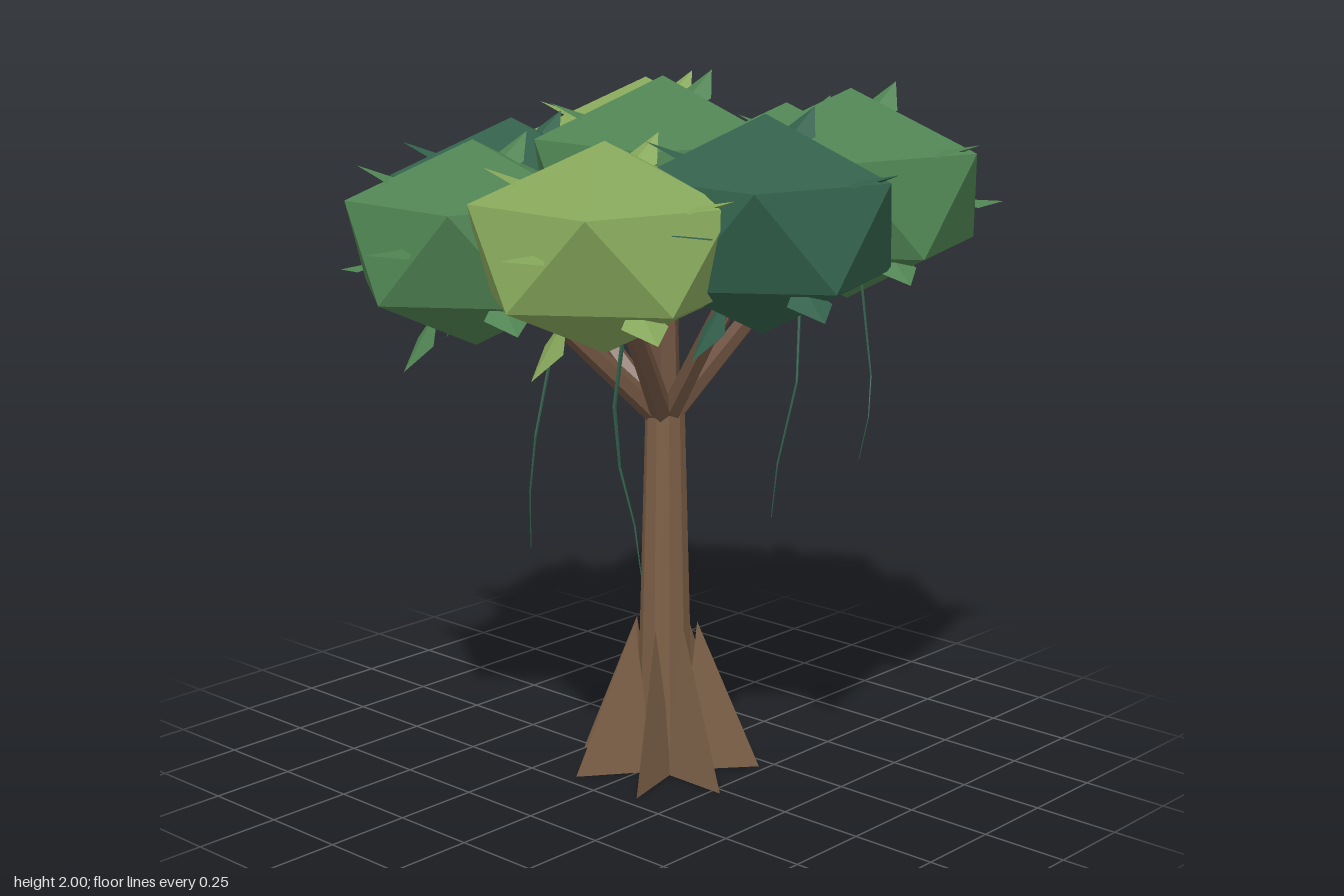
import * as THREE from 'three';

const mat = (name, color, extra = {}) => {
  const m = new THREE.MeshStandardMaterial({ color, flatShading: true, ...extra });
  m.name = name;
  return m;
};

// flat geometry from a list of triangle corners
const facets = (corners) => {
  const geo = new THREE.BufferGeometry();
  geo.setAttribute('position', new THREE.Float32BufferAttribute(corners.flat(), 3));
  geo.computeVertexNormals();
  return geo;
};

export function createModel() {
  const tree = new THREE.Group();
  tree.name = 'tree';
  const both = { side: THREE.DoubleSide };
  const bark = mat('bark', 0x7b5f46);
  const branchBark = mat('branchBark', 0x6f5340);
  const greens = {
    mid: mat('midGreen', 0x4f8352, both),
    light: mat('lightGreen', 0x86a65a, both),
    dark: mat('darkGreen', 0x32604b, both),
  };
  const add = (parent, name, geo, material) => {
    const mesh = new THREE.Mesh(geo, material);
    mesh.name = name;
    parent.add(mesh);
    return mesh;
  };
  // tapered rod from p to q
  const rod = (parent, name, p, q, r0, r1, sides, material) => {
    const d = q.clone().sub(p);
    const m = add(parent, name, new THREE.CylinderGeometry(r1, r0, d.length(), sides), material);
    m.position.copy(p).addScaledVector(d, 0.5);
    m.quaternion.setFromUnitVectors(new THREE.Vector3(0, 1, 0), d.normalize());
  };
  const TX = 0.037, TZ = 0.012;

  // trunk
  const trunk = new THREE.CylinderGeometry(0.056, 0.084, 1.06, 10);
  add(tree, 'trunk', trunk.translate(TX, 0.53, TZ), bark);

  // buttress roots: leaning three-sided fins
  const tip = [0.275, 0, 0], a = [0.05, 0, 0.045], b = [0.05, 0, -0.045], top = [0.093, 0.44, 0];
  const finGeo = facets([a, tip, top, tip, b, top, b, a, top, tip, a, b]);
  for (let i = 0; i < 7; i++) {
    const fin = add(tree, 'buttressRoot', finGeo, bark);
    fin.position.set(TX, 0, TZ);
    fin.rotation.y = -i * Math.PI * 2 / 7;
  }

  // foliage clump: icosahedron with a corner pointing straight up
  const clumpGeo = new THREE.IcosahedronGeometry(1, 0);
  clumpGeo.rotateZ(-Math.atan2(1, (1 + Math.sqrt(5)) / 2));

  // leaf: folded diamond along z, centred
  const back = [0, 0, -0.1], front = [0, 0, 0.1], left = [0.062, -0.015, 0], right = [-0.062, -0.015, 0];
  const leafGeo = facets([back, front, left, back, right, front]);

  // clumps: centre, radius, half height, colour
  const clumps = [
    [[0.04, 1.70, 0.0], 0.40, 0.30, 'mid'],
    [[0.57, 1.61, 0.0], 0.388, 0.275, 'mid'],
    [[0.36, 1.68, 0.40], 0.405, 0.29, 'mid'],
    [[-0.07, 1.65, 0.46], 0.388, 0.29, 'dark'],
    [[-0.44, 1.61, 0.24], 0.395, 0.275, 'light'],
    [[-0.45, 1.57, -0.24], 0.385, 0.28, 'mid'],
    [[-0.085, 1.58, -0.47], 0.388, 0.28, 'dark'],
    [[0.325, 1.67, -0.33], 0.40, 0.285, 'light'],
  ];
  const crotch = new THREE.Vector3(TX, 1.03, TZ);
  const LEAVES = 10;
  clumps.forEach(([c, r, h, col], n) => {
    const centre = new THREE.Vector3(...c);
    const clump = add(tree, 'foliageClump', clumpGeo, greens[col]);
    clump.position.copy(centre);
    clump.scale.set(r, h, r);

    rod(tree, 'branch', crotch, centre, n ? 0.034 : 0.046, n ? 0.022 : 0.036, 6, branchBark);

    // leaves spiralling from the top of the clump to its underside, the lower ones drooping
    for (let i = 0; i < LEAVES; i++) {
      const y = 1 - (2 * i + 1) / LEAVES, flat = Math.sqrt(1 - y * y);
      const az = THREE.MathUtils.degToRad(222.5 * i);
      const x = Math.cos(az) * flat, z = Math.sin(az) * flat;
      const leaf = add(tree, 'leaf', leafGeo, greens[col]);
      leaf.position.set(x * 0.36, y * h, z * 0.36).add(centre);
      leaf.lookAt(leaf.position.clone().add(new THREE.Vector3(x, y * (y < 0 ? 0.8 : 0.35), z)));
      // upper leaves sit deeper in the clump
      if (i < 2) leaf.translateZ(-0.045);
    }
  });

  // hanging vines, tapering to the tip
  const vines = [
    [[-0.45, 1.5, 0.33], [-0.45, 1.2, 0.28], [-0.42, 1.03, 0.27], [-0.39, 0.87, 0.295], [-0.39, 0.73, 0.32]],
    [[-0.09, 1.5, -0.28], [-0.10, 1.25, -0.29], [-0.16, 0.97, -0.31], [-0.16, 0.8, -0.335], [-0.13, 0.62, -0.365]],
    [[0.30, 1.5, 0.49], [0.30, 1.3, 0.52], [0.295, 1.2, 0.54], [0.275, 1.09, 0.55], [0.255, 0.97, 0.535]],
    [[0.62, 1.5, 0.0], [0.63, 1.25, 0.01], [0.61, 1.05, 0.02], [0.56, 0.8, -0.01], [0.565, 0.63, -0.035]],
  ];
  vines.forEach((points, n) => {
    const vine = new THREE.Group();
    vine.name = 'hangingVine';
    tree.add(vine);
    const full = n === 2 ? 0.004 : 0.0065;
    const pts = points.map(p => new THREE.Vector3(...p));
    for (let i = 0; i < 4; i++) {
      rod(vine, 'vineSegment', pts[i], pts[i + 1], full * (1 - i * 0.2), full * (0.8 - i * 0.2), 5, greens.dark);
    }
  });
  return tree;
}
